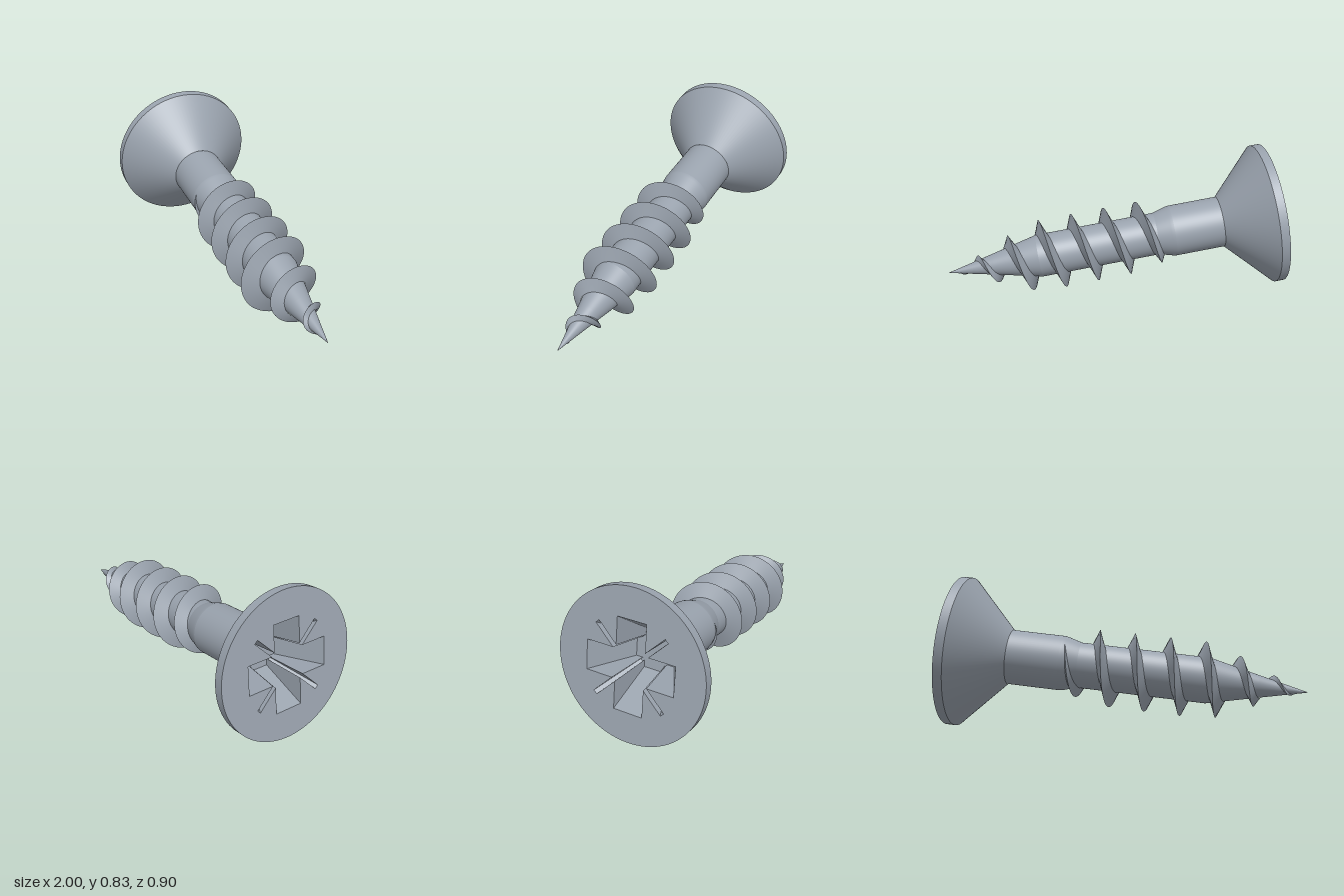
import * as THREE from 'three';

const TIP = 1.953;          // length along the screw axis
const PITCH = 0.196;
const { lerp, clamp, smoothstep } = THREE.MathUtils;
const mix = (t, t0, t1, a, b) => lerp(a, b, clamp((t - t0) / (t1 - t0), 0, 1));

// radius of the plain core and of the thread crest at distance t from the head
const coreRadius = (t) => (t < 1.41 ? mix(t, 0.61, 0.70, 0.15, 0.126) : mix(t, 1.41, TIP, 0.126, 0));
const crestRadius = (t) => (t < 1.44
  ? lerp(0.146, 0.211, smoothstep(t, 0.59, 0.80))
  : mix(t, 1.44, 1.9, 0.211, 0.012));

function lathe(points, segments = 72) {
  return new THREE.LatheGeometry(points.map(([r, t]) => new THREE.Vector2(r, t)), segments);
}

// cross-shaped outline with a thin slot on each diagonal, counter-clockwise
function recessOutline(reach, half, slotReach, slotHalf) {
  const s = slotHalf * Math.SQRT1_2, d = slotReach * Math.SQRT1_2;
  const quarter = [
    [reach, -half], [reach, half], [half + 2 * s, half],
    [d + s, d - s], [d - s, d + s], [half, half + 2 * s],
  ];
  const points = [];
  for (let k = 0; k < 4; k++) {
    const c = Math.round(Math.cos(k * Math.PI / 2)), n = Math.round(Math.sin(k * Math.PI / 2));
    for (const [x, y] of quarter) points.push(new THREE.Vector2(c * x - n * y, n * x + c * y));
  }
  return points;
}

// flat walls joining the outline on the face to the smaller one below it
function recessWalls(top, bottom, depth) {
  const pos = [];
  top.forEach((p, i) => {
    const j = (i + 1) % top.length, q = top[j], a = bottom[i], b = bottom[j];
    pos.push(p.x, p.y, 0, q.x, q.y, 0, a.x, a.y, -depth);
    pos.push(q.x, q.y, 0, b.x, b.y, -depth, a.x, a.y, -depth);
  });
  const geo = new THREE.BufferGeometry();
  geo.setAttribute('position', new THREE.Float32BufferAttribute(pos, 3));
  geo.computeVertexNormals();
  return geo;
}

// sharp-crested helical ridge: two strips, one for each flank
function threadFlank(side) {
  const pos = [], index = [], t0 = 0.59, t1 = 1.89, steps = 440;
  for (let i = 0; i <= steps; i++) {
    const t = lerp(t0, t1, i / steps);
    const angle = (t - 0.778) / PITCH * Math.PI * 2;
    const root = coreRadius(t) * 0.93;
    const width = Math.min(0.034, 0.006 + 0.4 * Math.max(0, crestRadius(t) - root));
    const crest = [crestRadius(t), t], foot = [root, t + side * width];
    for (const [r, y] of side < 0 ? [foot, crest] : [crest, foot]) {
      pos.push(r * Math.cos(angle), y, -r * Math.sin(angle));
    }
    if (i < steps) {
      const a = 2 * i;
      index.push(a, a + 2, a + 1, a + 1, a + 2, a + 3);
    }
  }
  const geo = new THREE.BufferGeometry();
  geo.setAttribute('position', new THREE.Float32BufferAttribute(pos, 3));
  geo.setIndex(index);
  geo.computeVertexNormals();
  return geo;
}

export function createModel() {
  const steel = new THREE.MeshStandardMaterial({ color: 0x9aa3ae });
  steel.name = 'steel';
  const screw = new THREE.Group();
  screw.name = 'screw';
  const add = (name, geometry, parent = screw) => {
    const mesh = new THREE.Mesh(geometry, steel);
    mesh.name = name;
    parent.add(mesh);
    return mesh;
  };

  // countersunk head
  add('headRim', lathe([[0.417, 0], [0.417, 0.05]], 96));
  add('headCone', lathe([[0.417, 0.05], [0.152, 0.308]], 96));

  // head face with its driver recess, drawn in the xy plane and turned outward
  const drive = new THREE.Group();
  drive.name = 'driveFace';
  drive.rotation.x = Math.PI / 2;
  screw.add(drive);
  const depth = 0.24;
  const outline = recessOutline(0.25, 0.082, 0.275, 0.012);
  const floor = recessOutline(0.11, 0.06, 0.11, 0.008);
  const face = new THREE.Shape().absarc(0, 0, 0.417, 0, Math.PI * 2);
  face.holes.push(new THREE.Path(outline));
  add('headFace', new THREE.ShapeGeometry(face, 48), drive);
  add('recessWalls', recessWalls(outline, floor, depth), drive);
  add('recessFloor', new THREE.ShapeGeometry(new THREE.Shape(floor)), drive).position.z = -depth;

  // plain neck, shoulder, threaded core and point
  add('neck', lathe([[0.152, 0.308], [0.152, 0.60]]));
  add('shoulder', lathe([[0.152, 0.60], [0.149, 0.62], [0.126, 0.70]]));
  add('core', lathe([[0.126, 0.70], [0.126, 1.41]]));
  add('point', lathe([[0.126, 1.41], [0.063, 1.68], [0.0005, TIP]]));

  // thread
  add('threadHeadFlank', threadFlank(-1));
  add('threadTipFlank', threadFlank(1));

  // lay the screw on its side, leaning on the head rim and the thread
  const axis = new THREE.Vector3(0.968, -0.148, 0.205).normalize();
  const up = new THREE.Vector3(0, 1, 0).addScaledVector(axis, -axis.y).normalize();
  const side = new THREE.Vector3().crossVectors(up, axis);
  screw.quaternion.setFromRotationMatrix(new THREE.Matrix4().makeBasis(up, axis, side));
  screw.position.set(-0.893, 0.42, -0.047);

  const model = new THREE.Group();
  model.name = 'countersunkScrew';
  model.add(screw);
  return model;
}
